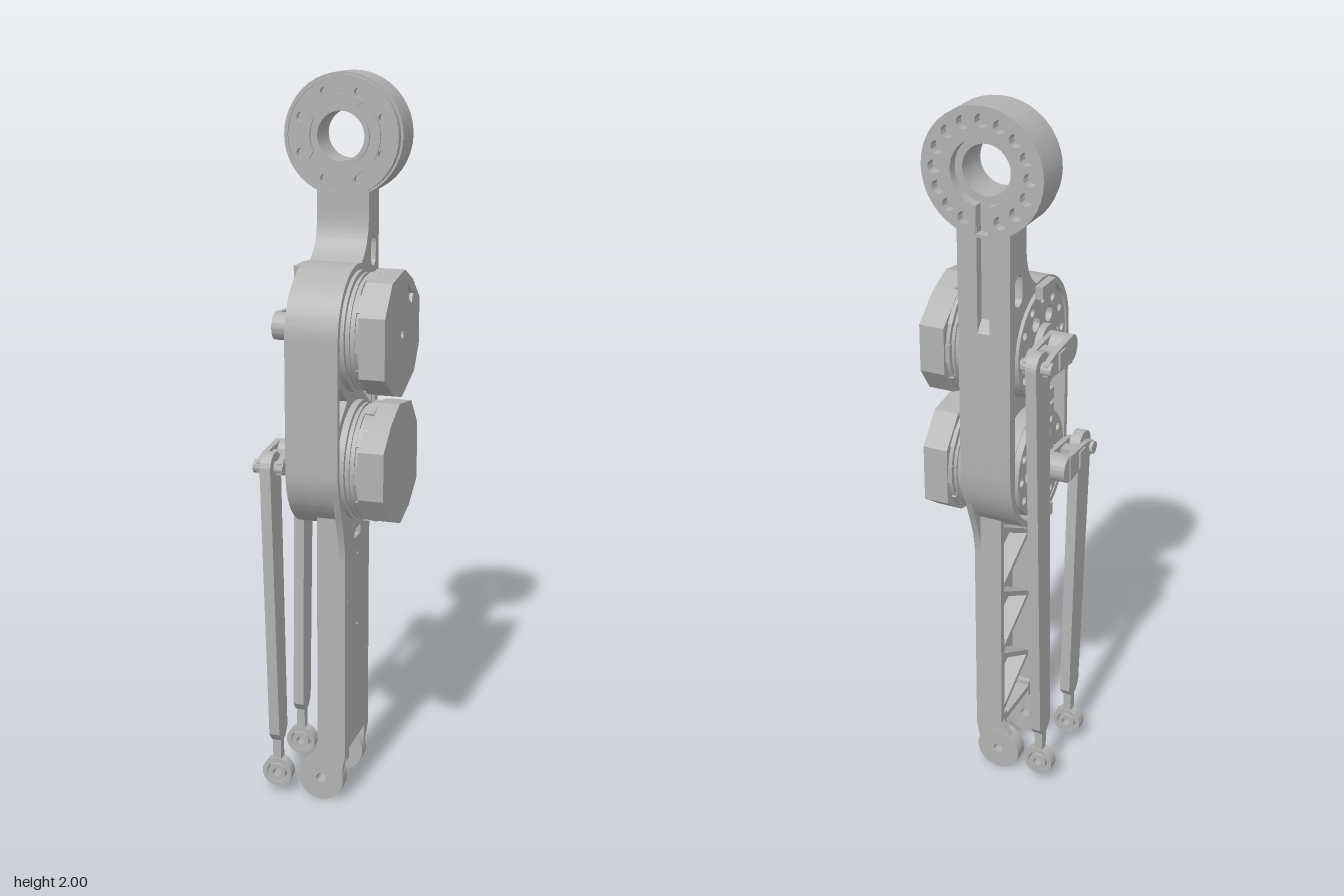
import * as THREE from 'three';
import { toCreasedNormals } from 'three/addons/utils/BufferGeometryUtils.js';

const UPPER = 1.335, LOWER = 0.98; // motor axis heights
const RING_X = -0.01, RING_Y = 1.838;

export function createModel() {
  const root = new THREE.Group();
  const metal = new THREE.MeshStandardMaterial({ color: 0xb2b2b2 });
  metal.name = 'light grey metal';

  const add = (geo, name, parent = root) => {
    const mesh = new THREE.Mesh(toCreasedNormals(geo, 0.5), metal);
    mesh.name = name;
    parent.add(mesh);
    return mesh;
  };
  const group = (name) => {
    const g = new THREE.Group();
    g.name = name;
    root.add(g);
    return g;
  };
  const extrude = (shape, depth) =>
    new THREE.ExtrudeGeometry(shape, { depth, bevelEnabled: false, curveSegments: 20 });
  // Side profile drawn in (-z, y), extruded along x
  const alongX = (shape, x0, x1) => extrude(shape, x1 - x0).rotateY(Math.PI / 2).translate(x0, 0, 0);
  // Front profile drawn in (x, y), extruded along z
  const alongZ = (shape, z0, z1) => extrude(shape, z1 - z0).translate(0, 0, z0);
  const cylX = (r, x0, x1, y, z) =>
    new THREE.CylinderGeometry(r, r, x1 - x0, 40).rotateZ(Math.PI / 2).translate((x0 + x1) / 2, y, z);
  const disc = (x, y, r) => new THREE.Shape().absarc(x, y, r, 0, Math.PI * 2, false);
  const hole = (x, y, r) => new THREE.Path().absarc(x, y, r, 0, Math.PI * 2, true);
  const poly = (pts) => new THREE.Shape(pts.map(([a, b]) => new THREE.Vector2(a, b)));
  const pill = (x, y, hw, hh) => {
    const p = new THREE.Path();
    p.absarc(x, y + hh - hw, hw, 0, Math.PI, false);
    p.absarc(x, y - hh + hw, hw, Math.PI, Math.PI * 2, false);
    p.closePath();
    return p;
  };
  const boltCircle = (shape, cx, cy, r, count, size, skip = () => false, turn = 0) => {
    for (let i = 0; i < count; i++) {
      const a = turn + (i / count) * Math.PI * 2;
      if (!skip(a)) shape.holes.push(hole(cx + r * Math.cos(a), cy + r * Math.sin(a), size));
    }
  };

  // Housing and neck: three slices, the middle one recessed for the rear cable groove
  const housing = group('housing');
  const housingShape = (back) => {
    const s = new THREE.Shape();
    s.moveTo(back, 1.7);
    s.lineTo(back, 1.45);
    s.lineTo(0.19, 1.42);
    s.lineTo(0.19, 1.02);
    s.quadraticCurveTo(0.188, 0.94, 0.156, 0.89);
    s.absarc(0, LOWER, 0.18, -0.52, -Math.PI, true);
    s.absarc(0, UPPER, 0.18, Math.PI, 1.4, true);
    s.bezierCurveTo(0.07, 1.535, 0.095, 1.57, 0.095, 1.64);
    s.lineTo(0.095, 1.7);
    s.closePath();
    const pocket = new THREE.Path();
    pocket.absarc(0, UPPER, 0.162, 0, Math.PI, false);
    pocket.absarc(0, LOWER, 0.162, Math.PI, Math.PI * 2, false);
    pocket.closePath();
    s.holes.push(pocket, pill(0.14, 1.53, 0.022, 0.042));
    return s;
  };
  [[-0.085, -0.028, 0.19], [-0.028, 0.006, 0.165], [0.006, 0.06, 0.19]].forEach(([a, b, back]) =>
    add(alongX(housingShape(back), a, b), 'housingShell', housing));
  // Web between the motors with side pockets
  const web = poly([[-0.165, LOWER], [0.165, LOWER], [0.165, UPPER], [-0.165, UPPER]]);
  for (const s of [-1, 1]) {
    web.holes.push(poly([[s * 0.15, 1.1], [s * 0.15, 1.22], [s * 0.07, 1.158]]));
  }
  add(alongX(web, -0.03, 0.052), 'housingWeb', housing);

  // Hip ring
  const ring = group('hipRing');
  const annulus = (r, bore) => {
    const s = disc(RING_X, RING_Y, r);
    s.holes.push(hole(RING_X, RING_Y, bore));
    return s;
  };
  const rear = disc(RING_X, RING_Y, 0.164);
  const key = new THREE.Path(); // bore joined to the cable groove
  key.absarc(RING_X, RING_Y, 0.085, -Math.PI / 2 + 0.2, Math.PI * 1.5 - 0.2, false);
  key.lineTo(RING_X - 0.017, RING_Y - 0.155);
  key.lineTo(RING_X + 0.017, RING_Y - 0.155);
  key.closePath();
  rear.holes.push(key);
  boltCircle(rear, RING_X, RING_Y, 0.128, 16, 0.017, (a) => Math.abs(a - Math.PI * 1.5) < 0.3);
  add(alongZ(rear, -0.192, -0.165), 'ringBackFace', ring);
  add(alongZ(annulus(0.164, 0.065), -0.165, -0.09), 'ringBody', ring);
  const flange = annulus(0.15, 0.065);
  boltCircle(flange, RING_X, RING_Y, 0.122, 8, 0.012, undefined, Math.PI / 8);
  add(alongZ(flange, -0.09, -0.072), 'ringFlange', ring);
  add(alongZ(annulus(0.158, 0.148), -0.09, -0.068), 'ringRim', ring);
  add(alongZ(annulus(0.078, 0.065), -0.072, -0.066), 'boreLip', ring);
  // Raised curved pads between bolt pairs
  for (let i = 0; i < 4; i++) {
    const a = (i * Math.PI) / 2;
    const s = new THREE.Shape();
    s.absarc(RING_X, RING_Y, 0.108, a - 0.62, a + 0.62, false);
    s.absarc(RING_X, RING_Y, 0.086, a + 0.5, a - 0.5, true);
    s.closePath();
    add(alongZ(s, -0.072, -0.066), 'ringPad', ring);
  }

  // Motors: faceted cap and ribbed collar outside, bolted output disc inside
  const capPoints = [[-0.168, 0.07], [-0.168, -0.09], [-0.09, -0.145], [0, -0.172], [0.125, -0.127],
    [0.172, -0.06], [0.172, 0.07], [0.1, 0.13], [0.02, 0.168], [-0.1, 0.15]];
  const slotPoints = [[0.035, 0.1], [0.09, 0.065], [0.105, 0.09], [0.05, 0.125]];
  [[UPPER, 1, 'upperMotor'], [LOWER, -1, 'lowerMotor']].forEach(([y, flip, name]) => {
    const g = group(name);
    const place = (pts) => poly(pts.map(([u, v]) => [u * flip, y + v]));
    add(alongX(place(capPoints), 0.112, 0.172), 'motorCap', g);
    const face = place(capPoints);
    face.holes.push(hole(0, y, 0.013), place(slotPoints));
    add(alongX(face, 0.172, 0.182), 'motorCapFace', g);
    add(cylX(0.15, -0.07, 0.112, y, 0), 'motorCore', g);
    add(cylX(0.163, 0.05, 0.07, y, 0), 'motorCollar', g);
    for (const x of [0.076, 0.09]) add(cylX(0.157, x, x + 0.007, y, 0), 'coolingRib', g);
    add(cylX(0.162, 0.102, 0.113, y, 0), 'capSeat', g);
    // Raised tabs round the cap
    for (let i = 0; i < 10; i++) {
      const a = (i / 10) * Math.PI * 2 + 0.3;
      const tab = new THREE.BoxGeometry(0.026, 0.02, 0.05);
      tab.translate(0, 0.154, 0).rotateX(a).translate(0.113, y, 0);
      add(tab, 'capTab', g);
    }
    const output = disc(0, y, 0.148);
    boltCircle(output, 0, y, 0.125, 12, 0.012);
    boltCircle(output, 0, y, 0.08, 6, 0.022);
    add(alongX(output, -0.088, -0.07), 'outputDisc', g);
    add(cylX(0.055, -0.107, -0.07, y, 0), 'outputHub', g);
    for (const s of [-1, 1]) {
      const boss = new THREE.BoxGeometry(0.022, 0.035, 0.08).translate(-0.095, y + s * 0.155, 0);
      add(boss, 'housingBoss', g);
    }
  });

  // Cranks and push rods
  [[UPPER, -1, 'rearLinkage'], [LOWER, 1, 'frontLinkage']].forEach(([y, side, name]) => {
    const g = group(name);
    const pz = side * 0.145;
    const u = -pz;
    add(cylX(0.038, -0.172, -0.1, y, 0), 'crankShaft', g);
    const arm = poly([[0, y + 0.038], [u * 0.75, y + 0.03], [u * 1.1, y + 0.016],
      [u * 1.1, y - 0.016], [u * 0.75, y - 0.03], [0, y - 0.038]]);
    add(alongX(arm, -0.175, -0.16), 'crankOuterArm', g);
    add(alongX(arm, -0.12, -0.103), 'crankInnerArm', g);
    add(cylX(0.018, -0.184, -0.1, y, pz), 'crankPin', g);
    add(new THREE.BoxGeometry(0.08, 0.05, 0.035).translate(-0.14, y, side * 0.075), 'crankBridge', g);

    // Rod tapers from the crank pin to the ankle joint
    const endU = -side * 0.104, half = 0.034;
    const rod = new THREE.Shape();
    rod.moveTo(endU - half, 0.19);
    rod.lineTo(endU - 0.014, 0.165);
    rod.lineTo(endU + 0.014, 0.165);
    rod.lineTo(endU + half, 0.19);
    rod.lineTo(u + 0.042, y);
    rod.absarc(u, y, 0.043, 0, Math.PI, false);
    rod.closePath();
    add(alongX(rod, -0.155, -0.125), 'pushRod', g);
    add(new THREE.BoxGeometry(0.024, 0.09, 0.026).translate(-0.14, 0.14, side * 0.104), 'rodNeck', g);
    const eye = disc(-0.14, 0.065, 0.043);
    eye.holes.push(hole(-0.14, 0.065, 0.03));
    add(alongZ(eye, side * 0.104 - 0.016, side * 0.104 + 0.016), 'rodEye', g);
    const ball = disc(-0.14, 0.065, 0.026);
    ball.holes.push(hole(-0.14, 0.065, 0.012));
    add(alongZ(ball, side * 0.104 - 0.02, side * 0.104 + 0.02), 'jointBall', g);
  });

  // Shin: plate, two flanges with ankle lugs, and zigzag ribs
  const shin = group('shin');
  const plate = new THREE.Shape();
  plate.moveTo(-0.112, 0.15);
  plate.lineTo(0.112, 0.15);
  plate.lineTo(0.112, 0.7);
  plate.bezierCurveTo(0.112, 0.8, 0.15, 0.85, 0.172, 0.93);
  plate.lineTo(-0.172, 0.93);
  plate.bezierCurveTo(-0.15, 0.85, -0.112, 0.8, -0.112, 0.7);
  const slot = poly([[-0.028, 0.76], [0.028, 0.76], [0.028, 0.785], [-0.028, 0.785]]);
  plate.holes.push(slot);
  for (const [a, b] of [[0, 0.71], [0, 0.5], [0.095, 0.6], [-0.095, 0.6], [0.095, 0.39]]) {
    plate.holes.push(hole(a, b, 0.005));
  }
  add(alongX(plate, 0.042, 0.06), 'shinPlate', shin);
  for (const s of [-1, 1]) {
    const flangeShape = poly([[-0.02, 0.84], [0.06, 0.84], [0.06, 0.14], [0.05, 0.08], [-0.06, 0.1], [-0.02, 0.16]]);
    add(alongZ(flangeShape, s * 0.103 - 0.01, s * 0.103 + 0.01), 'shinFlange', shin);
    const lug = disc(-0.01, 0.065, 0.065);
    lug.holes.push(hole(-0.01, 0.065, 0.014));
    add(alongZ(lug, s * 0.094 - 0.021, s * 0.094 + 0.021), 'ankleLug', shin);
    add(new THREE.BoxGeometry(0.08, 0.06, 0.03).translate(0.02, 0.15, s * 0.09), 'lugRoot', shin);
  }
  add(new THREE.BoxGeometry(0.08, 0.018, 0.2).translate(0.02, 0.16, 0), 'shinFloor', shin);
  const steps = 6, rise = 0.63 / steps, slant = Math.atan2(rise, 0.19);
  for (let i = 0; i < steps; i++) {
    const rib = new THREE.BoxGeometry(0.055, 0.014, Math.hypot(rise, 0.19));
    rib.rotateX(i % 2 ? slant : -slant).translate(0.018, 0.17 + rise * (i + 0.5), 0);
    add(rib, 'trussRib', shin);
  }
  return root;
}
